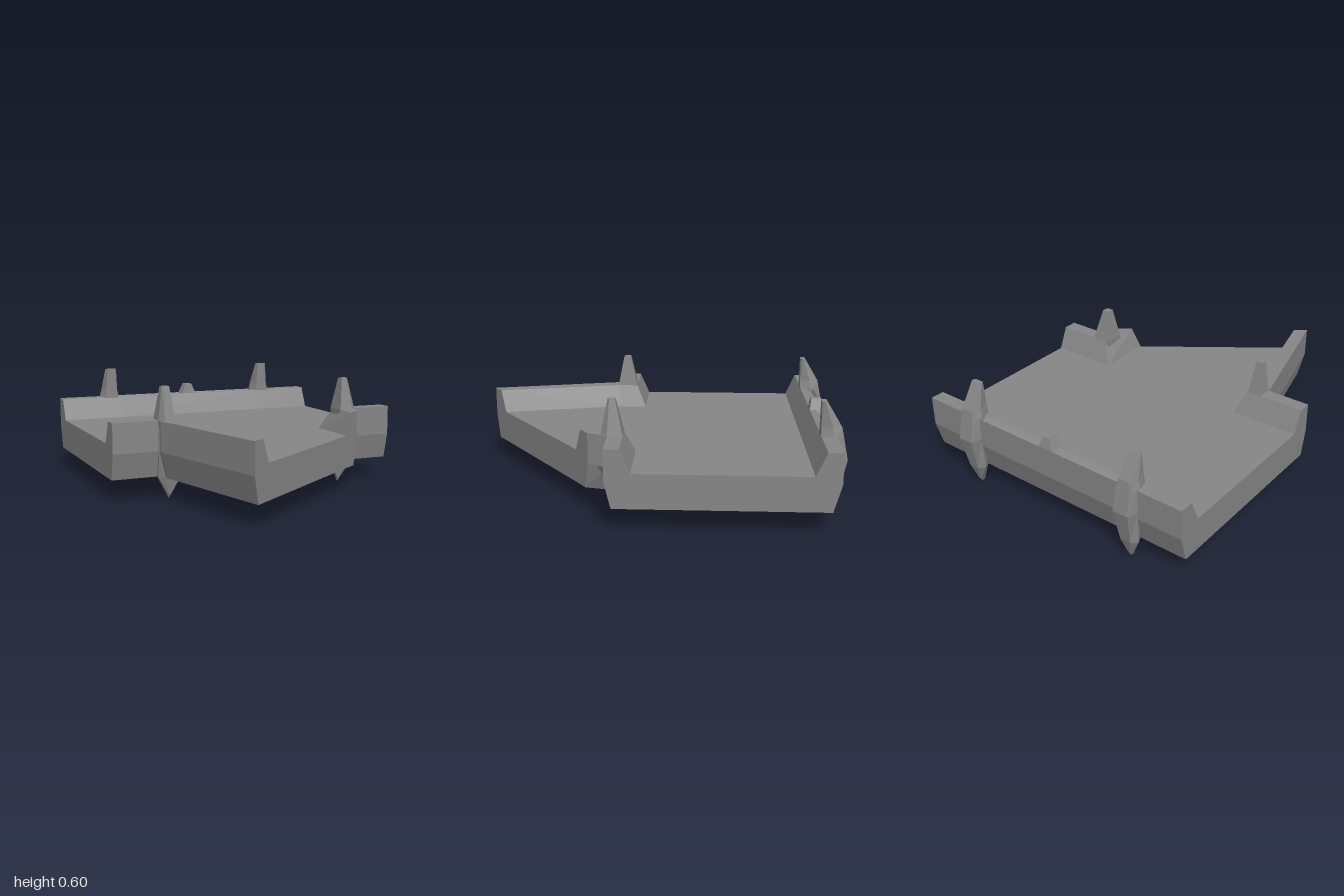
import * as THREE from 'three';

const material = new THREE.MeshStandardMaterial({ color: 0x868686, flatShading: true });
const TOP = 0.423, FLOOR = 0.3, BASE = 0.118;

// Joins matching loops of [x, y, z] points into a closed, outward-facing solid
function loft(sections) {
  const n = sections[0].length;
  const tris = [];
  for (let s = 0; s < sections.length - 1; s++) {
    const a = sections[s], b = sections[s + 1];
    for (let i = 0; i < n; i++) {
      const j = (i + 1) % n;
      tris.push([a[i], a[j], b[j]], [a[i], b[j], b[i]]);
    }
  }
  const first = sections[0], last = sections[sections.length - 1];
  for (let i = 1; i < n - 1; i++) {
    tris.push([first[0], first[i + 1], first[i]], [last[0], last[i], last[i + 1]]);
  }
  let volume = 0;
  for (const t of tris) {
    const [a, b, c] = t.map(p => new THREE.Vector3(...p));
    volume += a.dot(b.cross(c));
  }
  const ordered = volume < 0 ? tris.map(([a, b, c]) => [a, c, b]) : tris;
  const geometry = new THREE.BufferGeometry();
  geometry.setAttribute('position', new THREE.Float32BufferAttribute(ordered.flat(2), 3));
  geometry.computeVertexNormals();
  return geometry;
}

// Parapet profile: t runs from the inner foot (0) to the outer face (1)
const PARAPET = [[0, FLOOR], [0.41, TOP], [1, TOP], [1, 0.26], [0.74, BASE], [0, BASE]];

// Each station is [footX, footZ, outerX, outerZ]
function parapet(stations) {
  return loft(stations.map(([fx, fz, ox, oz]) =>
    PARAPET.map(([t, y]) => [fx + (ox - fx) * t, y, fz + (oz - fz) * t])));
}

export function createModel() {
  const group = new THREE.Group();
  const add = (name, geometry, x = 0) => {
    const mesh = new THREE.Mesh(geometry, material);
    mesh.name = name;
    mesh.position.x = x;
    group.add(mesh);
  };

  // Deck slab with its pointed, diagonally cut front
  const outline = [
    [-0.83, -0.81], [0.83, -0.81], [0.83, 0.085], [0.445, 0.085], [0.445, 0.4],
    [-0.28, 0.92], [-0.445, 0.25], [-0.445, 0.085], [-0.83, 0.085],
  ];
  const deck = new THREE.ExtrudeGeometry(
    new THREE.Shape(outline.map(([x, z]) => new THREE.Vector2(x, -z))),
    { depth: FLOOR - BASE, bevelEnabled: false });
  deck.rotateX(-Math.PI / 2).translate(0, BASE, 0);
  add('deck', deck);

  // Back parapet, with a shallow channel along the top between the ribs
  const wall = [[-0.83, 0], [-0.46, 0], [-0.46, 0.02], [0.46, 0.02], [0.46, 0], [0.83, 0]];
  add('backParapet', loft(wall.map(([x, dip]) => [
    [x, FLOOR, -0.807], [x, TOP, -0.862], [x, TOP, -0.89], [x, TOP - dip, -0.928],
    [x, TOP, -0.94], [x, 0.26, -0.94], [x, BASE, -0.9], [x, BASE, -0.807],
  ])));

  // Front parapets turn the corner and stop at the diagonal cut
  add('rightParapet', parapet([
    [-0.83, 0.085, -0.83, 0.217], [-0.445, 0.085, -0.58, 0.217],
    [-0.445, 0.25, -0.58, 0.25], [-0.28, 0.92, -0.39, 1.0],
  ]));
  add('leftParapet', parapet([
    [0.83, 0.085, 0.83, 0.217], [0.445, 0.085, 0.605, 0.217], [0.445, 0.4, 0.555, 0.325],
  ]));

  // Back ribs: [y, inner z, outer z, inner half width, outer half width]
  const ribLevels = [
    [0.6, -0.86, -0.887, 0.035, 0.03], [0.47, -0.86, -0.965, 0.05, 0.035],
    [TOP, -0.86, -0.975, 0.062, 0.04], [0.3, -0.88, -1, 0.062, 0.045],
    [BASE, -0.9, -0.965, 0.06, 0.03], [0.02, -0.9, -0.932, 0.01, 0.007],
    [0, -0.9, -0.918, 0.001, 0.001],
  ];
  const rib = loft(ribLevels.map(([y, zi, zo, wi, wo]) => {
    const zm = zi + (zo - zi) * 0.55;
    return [[-wi * 0.7, y, zi], [-wi, y, zm], [-wo, y, zo], [wo, y, zo], [wi, y, zm], [wi * 0.7, y, zi]];
  }));
  add('rightBackRib', rib, -0.52);
  add('leftBackRib', rib, 0.52);

  // Small knob in the middle of the back parapet
  add('knob', loft([[0.39, 0.06, -0.862, -0.94], [TOP, 0.045, -0.862, -0.94], [0.483, 0.02, -0.87, -0.925]]
    .map(([y, w, z0, z1]) => [[-w, y, z0], [w, y, z0], [w, y, z1], [-w, y, z1]])));

  // Front corner posts: [y, inner x, outer x, back z, side z, front z]
  const post = (side, levels) => loft(levels.map(([y, x0, x1, z0, zs, z1]) => {
    const xm = x0 + (x1 - x0) * 0.7;
    return [[x0, z0], [x1, z0], [x1, zs], [xm, z1], [x0, z1]].map(([x, z]) => [side * x, y, z]);
  }));
  add('leftFrontPost', post(1, [
    [0.6, 0.515, 0.555, 0.18, 0.21, 0.22], [TOP, 0.49, 0.6, 0.14, 0.22, 0.255],
    [0.26, 0.49, 0.625, 0.14, 0.22, 0.275], [BASE, 0.46, 0.6, 0.18, 0.2, 0.22],
    [0.02, 0.507, 0.525, 0.18, 0.19, 0.2], [0, 0.514, 0.516, 0.18, 0.185, 0.19],
  ]));
  add('rightFrontPost', post(-1, [
    [0.6, 0.52, 0.56, 0.18, 0.21, 0.22], [TOP, 0.5, 0.582, 0.14, 0.22, 0.255],
    [0.26, 0.5, 0.583, 0.14, 0.23, 0.27], [BASE, 0.46, 0.58, 0.18, 0.2, 0.22],
    [0.02, 0.51, 0.53, 0.18, 0.19, 0.2], [0, 0.519, 0.521, 0.18, 0.185, 0.19],
  ]));

  return group;
}
